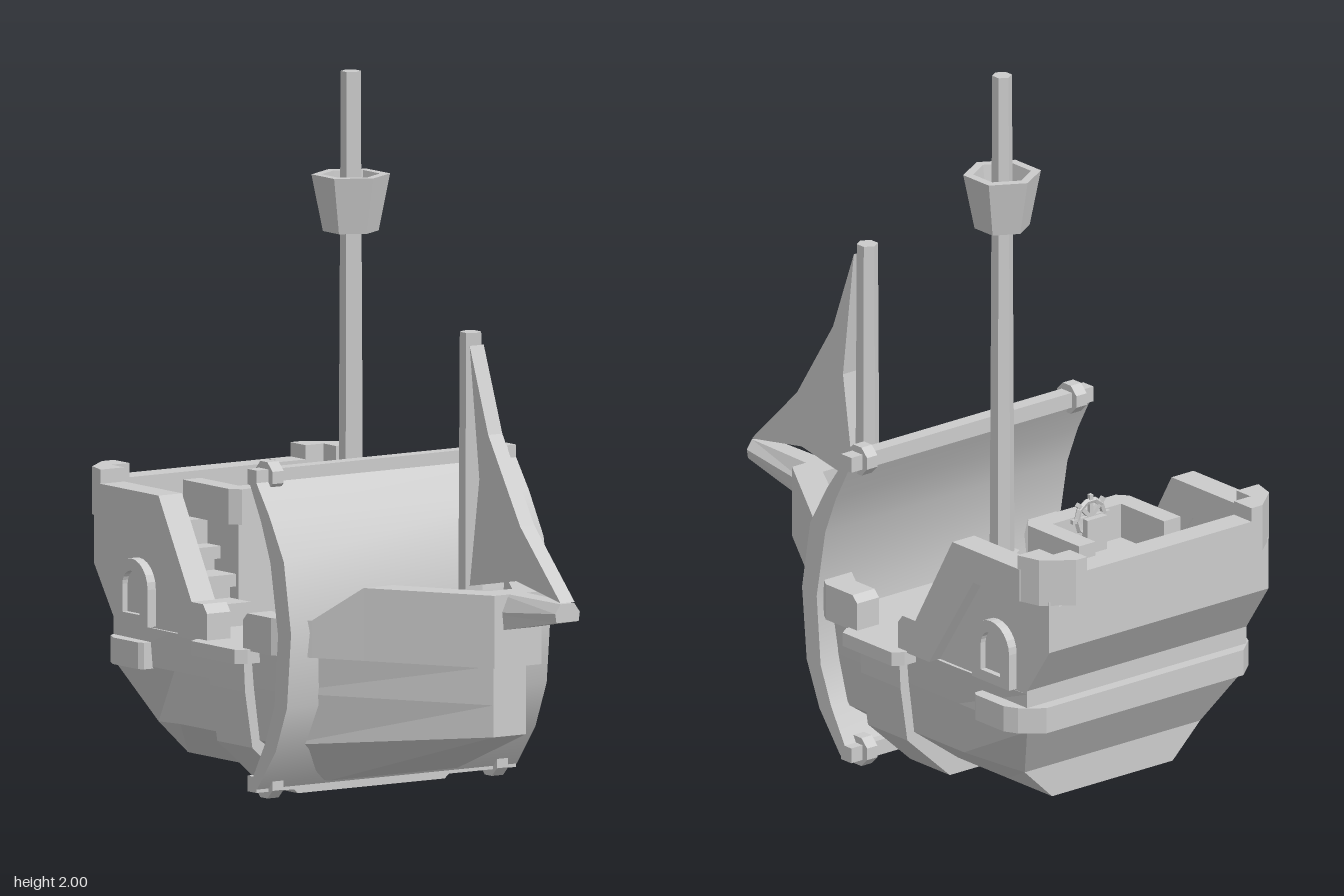
import * as THREE from 'three';
import { toCreasedNormals } from 'three/addons/utils/BufferGeometryUtils.js';

const flat = new THREE.MeshStandardMaterial({ color: 0xcccccc, flatShading: true });
const smooth = new THREE.MeshStandardMaterial({ color: 0xcccccc });

export function createModel() {
  const ship = new THREE.Group();
  const add = (name, geo, x = 0, y = 0, z = 0, mat = flat) => {
    const m = new THREE.Mesh(geo, mat);
    m.name = name;
    m.position.set(x, y, z);
    ship.add(m);
    return m;
  };
  const box = (name, x0, x1, y0, y1, z0, z1) =>
    add(name, new THREE.BoxGeometry(x1 - x0, y1 - y0, z1 - z0), (x0 + x1) / 2, (y0 + y1) / 2, (z0 + z1) / 2);
  const shapeOf = (pts) => new THREE.Shape(pts.map((p) => new THREE.Vector2(p[0], p[1])));
  const extrude = (shape, depth) =>
    new THREE.ExtrudeGeometry(shape, { depth, bevelEnabled: false, curveSegments: 6 });
  // outline in (z, y), swept from x0 to x1
  const sideExtrude = (shape, x0, x1) => extrude(shape, x1 - x0).rotateY(-Math.PI / 2).translate(x1, 0, 0);
  // outline in (x, z), swept from y0 to y1
  const planExtrude = (shape, y0, y1) => extrude(shape, y1 - y0).rotateX(Math.PI / 2).translate(0, y1, 0);
  const mirrored = (pts) => [...pts, ...pts.slice().reverse().map(([x, ...r]) => [-x, ...r])];

  // skin a row of equal rings, close both ends, and turn the faces outward
  function loft(rings) {
    const tris = [], n = rings[0].length;
    const quad = (a, b, c, d) => tris.push([a, b, c], [a, c, d]);
    for (let i = 0; i < rings.length - 1; i++)
      for (let j = 0; j < n; j++) {
        const k = (j + 1) % n;
        quad(rings[i][j], rings[i][k], rings[i + 1][k], rings[i + 1][j]);
      }
    const a = rings[0], b = rings[rings.length - 1];
    for (let i = 0; i < n / 2 - 1; i++) {
      quad(a[i], a[n - 1 - i], a[n - 2 - i], a[i + 1]);
      quad(b[i], b[i + 1], b[n - 2 - i], b[n - 1 - i]);
    }
    const v = (p) => new THREE.Vector3(...p);
    const volume = tris.reduce((s, [p, q, r]) => s + v(p).dot(v(q).cross(v(r))), 0);
    const pos = tris.flatMap(([p, q, r]) => (volume > 0 ? [p, q, r] : [p, r, q])).flat();
    const g = new THREE.BufferGeometry();
    g.setAttribute('position', new THREE.Float32BufferAttribute(pos, 3));
    g.computeVertexNormals();
    return g;
  }

  // lower hull: keel edge, chine, wale and deck edge at each station
  const mid = (z) => [[0.22, 0.045, z], [0.38, 0.16, z], [0.4, 0.31, z], [0.41, 0.42, z]];
  const bow = [0.22, 0.22, 0.31, 0.42].map((y) => [0.055, y, 0.605]);
  const shoulder = [[0.22, 0.045, 0.04], [0.38, 0.16, 0.05], [0.4, 0.31, 0.06], [0.41, 0.42, 0.07]];
  const stern = [[0.22, 0.045, -0.64], [0.32, 0.14, -0.64], [0.4, 0.31, -0.745], [0.4, 0.42, -0.745]];
  add('hull', loft([bow, shoulder, mid(-0.45), stern].map(mirrored)));

  // band and plate around the middle
  const band = (z) => [[0.25, 0, z], [0.405, 0.14, z], [0.43, 0.3, z], [0.435, 0.4, z]];
  add('hullBand', loft([band(-0.065), band(-0.235)].map(mirrored)));
  add('deckPlate', planExtrude(shapeOf(mirrored(
    [[0.45, -0.025], [0.48, -0.045], [0.48, -0.255], [0.45, -0.275]])), 0.385, 0.425));

  // bulwark wrapping the bow: [outer x, outer z, inner x, inner z, top]
  const railHalf = [
    [0.44, -0.06, 0.36, -0.06, 0.505], [0.44, -0.04, 0.36, -0.04, 0.525],
    [0.44, 0.075, 0.36, 0.04, 0.525], [0.375, 0.18, 0.275, 0.18, 0.525],
    [0.29, 0.31, 0.19, 0.31, 0.625], [0.08, 0.645, 0.04, 0.56, 0.625],
  ];
  const railAll = [...railHalf, ...railHalf.slice().reverse().map(([a, b, c, d, t]) => [-a, b, -c, d, t])];
  add('bowBulwark', loft(railAll.map(([ox, oz, ix, iz, t]) =>
    [[ox, 0.42, oz], [ox, t, oz], [ix, t, iz], [ix, 0.42, iz]])));

  // stern castle: decks, walls and stairs
  const back = [[-0.84, 0.57], [-0.745, 0.43], [-0.745, 0.31]];
  add('sternCabin', sideExtrude(shapeOf([[-0.625, 0.31], [-0.625, 0.7], [-0.84, 0.7], ...back]), -0.39, 0.39));
  box('upperDeck', -0.165, 0.165, 0.42, 0.7, -0.63, -0.475);
  [-0.415, -0.485, -0.56].forEach((z, i) => {
    const top = 0.49 + 0.07 * i;
    for (const s of [-1, 1]) {
      const xs = [s * 0.165, s * 0.365].sort((a, b) => a - b);
      box('stairTread', ...xs, top - 0.035, top, -0.63, z);
      box('stairRiser', ...xs, top - 0.07, top - 0.035, -0.63, z - 0.03);
    }
  });
  const railSide = shapeOf([[-0.235, 0.42], [-0.235, 0.5], [-0.255, 0.525], [-0.31, 0.525], [-0.47, 0.805],
    [-0.76, 0.805], [-0.76, 0.71], [-0.56, 0.71], [-0.37, 0.42]]);
  const wall = shapeOf([[-0.3, 0.42], [-0.37, 0.42], [-0.56, 0.72], [-0.84, 0.72], ...back, [-0.3, 0.31]].slice(1));
  const corner = [[0.36, -0.75], [0.44, -0.75], [0.42, -0.82], [0.34, -0.885], [0.3, -0.885], [0.3, -0.81], [0.36, -0.81]];

  // arched window with a frame
  const arch = (path, w, y0, y1) => {
    path.moveTo(-0.62 - w, y0);
    path.lineTo(-0.62 + w, y0);
    path.lineTo(-0.62 + w, y1 - w);
    path.absarc(-0.62, y1 - w, w, 0, Math.PI, false);
    path.closePath();
    return path;
  };
  const frame = arch(new THREE.Shape(), 0.08, 0.425, 0.61);
  frame.holes.push(arch(new THREE.Path(), 0.042, 0.455, 0.575));

  for (const s of [-1, 1]) {
    const span = (a, b) => (s > 0 ? [a, b] : [-b, -a]);
    add('sternRail', sideExtrude(railSide, ...span(0.36, 0.44)));
    add('sternWall', sideExtrude(wall, ...span(0.365, 0.4)));
    add('sternRailCorner', planExtrude(shapeOf(corner.map(([x, z]) => [s * x, z])), 0.71, 0.845));
    add('windowFrame', sideExtrude(frame, ...span(0.395, 0.428)));
    add('windowPane', sideExtrude(arch(new THREE.Shape(), 0.043, 0.45, 0.577), ...span(0.395, 0.41)));
  }
  box('sternRailMiddle', -0.3, 0.3, 0.71, 0.805, -0.885, -0.81);
  add('sternTrim', planExtrude(shapeOf(mirrored([[0.36, -0.555], [0.43, -0.555], [0.44, -0.57],
    [0.44, -0.69], [0.42, -0.73], [0.36, -0.78]])), 0.305, 0.38));

  // helm railing and steering wheel
  add('helmRail', planExtrude(shapeOf(mirrored([[0.125, -0.53], [0.125, -0.715], [0.185, -0.715],
    [0.185, -0.495], [0.16, -0.465]])), 0.7, 0.8));
  box('wheelStand', -0.035, 0.035, 0.7, 0.8, -0.575, -0.555);
  add('wheelRim', new THREE.TorusGeometry(0.05, 0.009, 5, 10), 0, 0.795, -0.545);
  for (let i = 0; i < 4; i++)
    add('wheelSpoke', new THREE.BoxGeometry(0.012, 0.135, 0.012), 0, 0.795, -0.545).rotation.z = (i * Math.PI) / 4;

  // masts and lookout
  const hex = (name, rTop, rBottom, y0, y1, z) =>
    add(name, new THREE.CylinderGeometry(rTop, rBottom, y1 - y0, 6), 0, (y0 + y1) / 2, z);
  hex('mainMast', 0.028, 0.036, 0.42, 2, -0.165);
  hex('mainMastFoot', 0.05, 0.078, 0.42, 0.585, -0.165);
  hex('foreMast', 0.03, 0.035, 0.42, 1.335, 0.415);
  const nest = [[0, 1.55], [0.078, 1.55], [0.11, 1.71], [0.082, 1.71], [0.065, 1.59], [0, 1.59]];
  add('lookout', new THREE.LatheGeometry(nest.map((p) => new THREE.Vector2(...p)), 6), 0, 0, -0.165);

  // bowsprit and triangular foresail
  const sprit = (z, w, y0) => mirrored([[w * 0.9, y0, z], [w, (y0 + 0.625) / 2, z], [w * 0.55, 0.625, z]]);
  add('bowsprit', loft([sprit(0.56, 0.058, 0.51), sprit(0.885, 0.042, 0.573)]));
  add('foresail', sideExtrude(shapeOf([[0.445, 1.3], [0.535, 1.06], [0.69, 0.82], [0.885, 0.628],
    [0.67, 0.665], [0.445, 0.625], [0.492, 0.93]]), -0.024, 0.024));

  // billowing main sail between two yards
  const sail = shapeOf([[-0.01, 0.92], [0.07, 0.81], [0.14, 0.69], [0.175, 0.49], [0.155, 0.28], [0.1, 0.15], [0.01, 0.035],
    [-0.02, 0.05], [0.05, 0.17], [0.095, 0.28], [0.112, 0.48], [0.075, 0.68], [0.03, 0.79], [-0.03, 0.9]]);
  add('mainSail', toCreasedNormals(sideExtrude(sail, -0.442, 0.442), 0.7), 0, 0, 0, smooth);
  for (const y of [0.91, 0.047]) {
    box('yard', -0.442, 0.442, y - 0.022, y + 0.022, -0.037, 0.007);
    for (const x of [-0.382, 0.382])
      add('yardRing', new THREE.CylinderGeometry(0.045, 0.045, 0.038, 8).rotateY(Math.PI / 8).rotateZ(Math.PI / 2), x, y, -0.015);
  }
  return ship;
}
